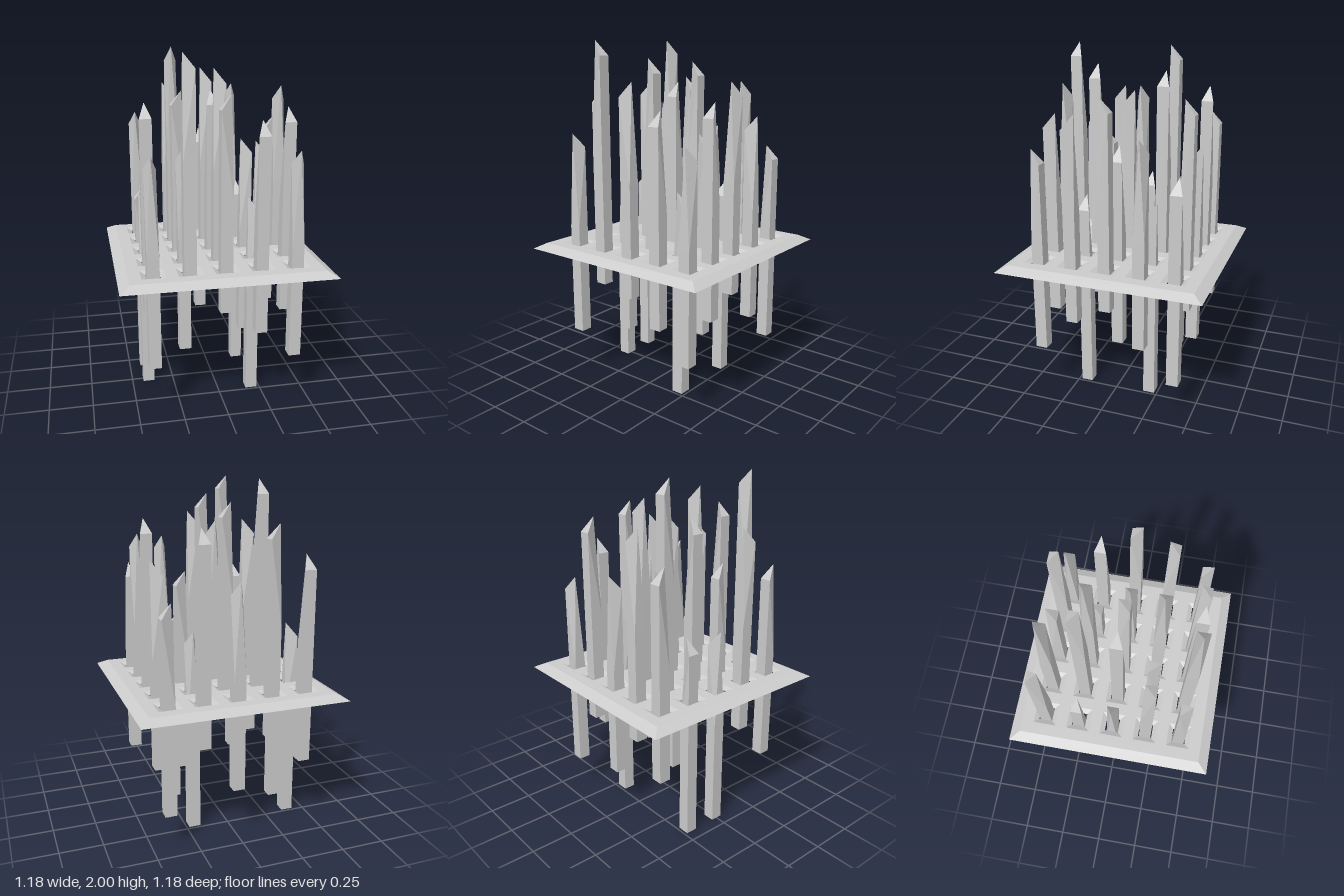
import * as THREE from 'three';

const LENGTH = 1.19;   // every spike has the same length
const W = 0.034;       // half width of a spike
const PITCH = 0.2;

// Square post cut to a chisel point: apex near the +z side, long cuts towards it
function spikeGeometry() {
  const back = LENGTH - 0.08, front = LENGTH - 0.55;
  const square = [[-W, W], [W, W], [W, -W], [-W, -W]];
  const points = [];
  for (const [x, z] of square) points.push(x, 0, z);
  for (const [x, z] of square) points.push(x, z > 0 ? front : back, z);
  points.push(0, LENGTH, 0.028);
  const index = [0, 3, 2, 0, 2, 1];
  for (let i = 0; i < 4; i++) {
    const j = (i + 1) % 4;
    index.push(i, j, j + 4, i, j + 4, i + 4, i + 4, j + 4, 8);
  }
  const indexed = new THREE.BufferGeometry();
  indexed.setAttribute('position', new THREE.Float32BufferAttribute(points, 3));
  indexed.setIndex(index);
  const geometry = indexed.toNonIndexed();
  geometry.computeVertexNormals();
  return geometry;
}

// Open four-sided band between two squares, given by half widths
function squareBand(top, bottom, y0, y1) {
  return new THREE.CylinderGeometry(top * Math.SQRT2, bottom * Math.SQRT2, y1 - y0, 4, 1, true)
    .rotateY(Math.PI / 4).translate(0, (y0 + y1) / 2, 0);
}

function squarePath(path, cx, cy, h) {
  path.moveTo(cx - h, cy - h);
  path.lineTo(cx + h, cy - h);
  path.lineTo(cx + h, cy + h);
  path.lineTo(cx - h, cy + h);
  path.closePath();
  return path;
}

// Flat sheet with a grid of square holes
function sheet(half, hole, y, facingUp) {
  const shape = squarePath(new THREE.Shape(), 0, 0, half);
  for (let i = -2; i <= 2; i++)
    for (let j = -2; j <= 2; j++)
      shape.holes.push(squarePath(new THREE.Path(), i * PITCH, j * PITCH, hole));
  return new THREE.ShapeGeometry(shape)
    .rotateX(facingUp ? -Math.PI / 2 : Math.PI / 2).translate(0, y, 0);
}

export function createModel() {
  const model = new THREE.Group();
  model.name = 'spikeTrap';
  const solid = new THREE.MeshStandardMaterial({ color: 0xcccccc, flatShading: true });
  const thin = new THREE.MeshStandardMaterial({ color: 0xcccccc, flatShading: true, side: THREE.DoubleSide });

  function add(parent, name, geometry, material) {
    const mesh = new THREE.Mesh(geometry, material);
    mesh.name = name;
    parent.add(mesh);
    return mesh;
  }

  // Bevelled plate
  const y0 = 0.815, y1 = 0.847, mid = (y0 + y1) / 2;
  const plate = new THREE.Group();
  plate.name = 'plate';
  model.add(plate);
  add(plate, 'plateTop', sheet(0.535, 0.067, y1, true), solid);
  add(plate, 'plateUnderside', sheet(0.592, 0.067, y0, false), solid);
  add(plate, 'plateBevel', squareBand(0.535, 0.592, y0, y1), solid);

  // Apex height of each spike (rows from back to front) and the side its point leans to
  const heights = [
    [1.61, 1.78, 1.49, 1.77, 1.40],
    [1.19, 2.00, 1.88, 1.19, 1.59],
    [1.19, 1.77, 1.77, 1.49, 1.79],
    [1.73, 1.49, 1.905, 1.19, 1.69],
    [1.49, 2.00, 1.79, 1.65, 1.49],
  ];
  const leans = ['FLBFL', 'RFLBR', 'LRBLF', 'BFLLB', 'FLRBF'];
  const turn = { F: 0, R: Math.PI / 2, B: Math.PI, L: -Math.PI / 2 };

  const upperHole = squareBand(0.067, 0.039, mid, y1);
  const lowerHole = squareBand(0.039, 0.067, y0, mid);
  const spike = spikeGeometry();
  for (let row = 0; row < 5; row++) {
    for (let col = 0; col < 5; col++) {
      const x = (col - 2) * PITCH, z = (row - 2) * PITCH;
      // Hole flaring to both faces of the plate
      add(plate, 'holeUpperWall', upperHole, thin).position.set(x, 0, z);
      add(plate, 'holeLowerWall', lowerHole, thin).position.set(x, 0, z);
      const post = add(model, 'spike', spike, solid);
      post.position.set(x, Math.max(0, heights[row][col] - LENGTH), z);
      post.rotation.y = turn[leans[row][col]];
    }
  }
  return model;
}
